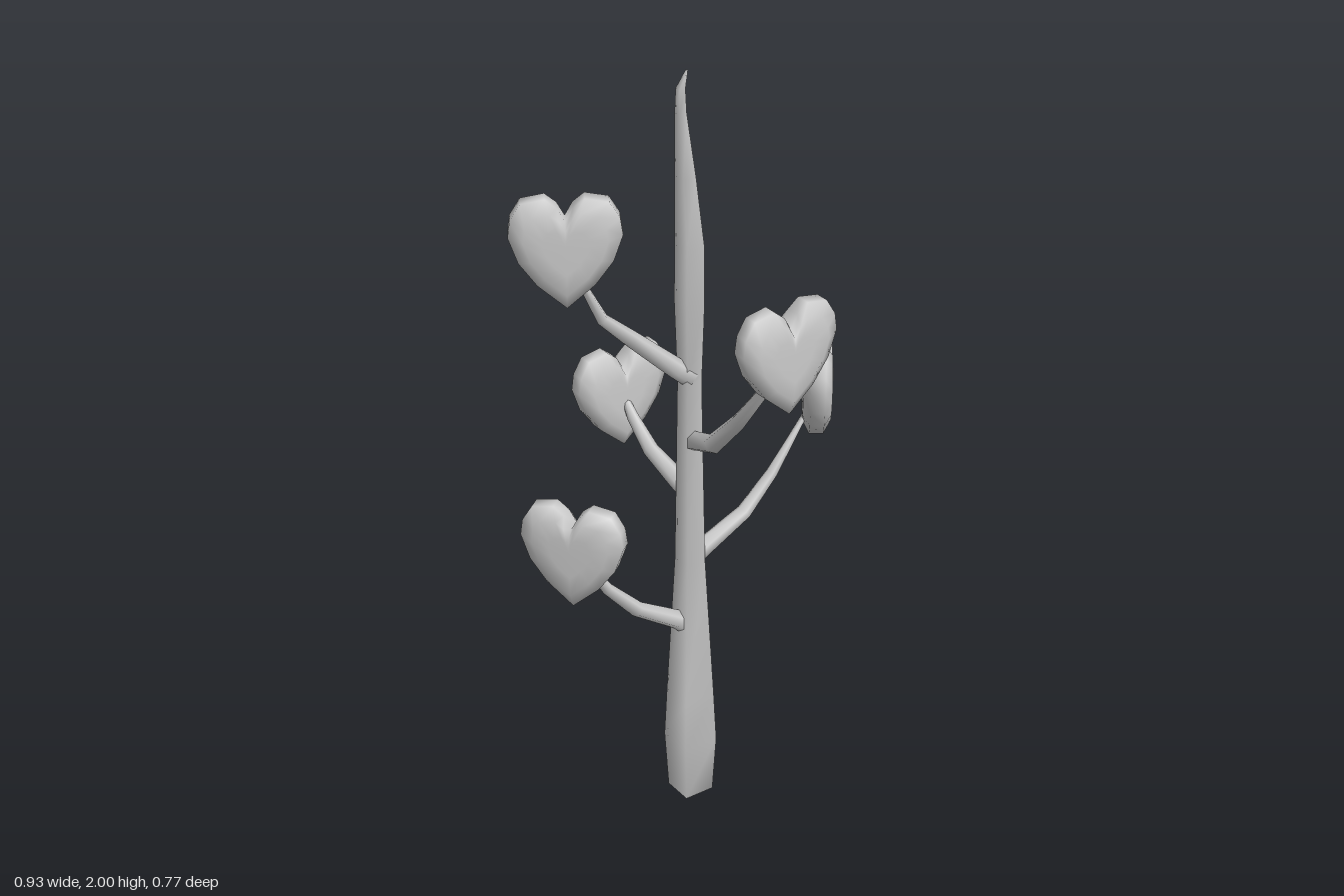
import * as THREE from 'three';

const material = new THREE.MeshStandardMaterial({ color: 0xcccccc });
const Z0 = -0.038; // depth of the trunk axis

// Joins equal rings of points into a closed, smooth skin with end caps.
function skin(name, rings) {
  const n = rings[0].length, last = rings.length - 1;
  const points = rings.flat();
  const index = [];
  for (let k = 0; k < last; k++) {
    for (let i = 0; i < n; i++) {
      const j = (i + 1) % n;
      const a = k * n + i, b = k * n + j, c = b + n, d = a + n;
      index.push(a, b, c, a, c, d);
    }
  }
  for (const k of [0, last]) {
    const centre = new THREE.Vector3();
    rings[k].forEach(p => centre.addScaledVector(p, 1 / n));
    const c = points.push(centre) - 1;
    for (let i = 0; i < n; i++) {
      const a = k * n + i, b = k * n + (i + 1) % n;
      if (k === 0) index.push(c, b, a);
      else index.push(c, a, b);
    }
  }
  const geometry = new THREE.BufferGeometry().setFromPoints(points);
  geometry.setIndex(index);
  geometry.computeVertexNormals();
  const mesh = new THREE.Mesh(geometry, material);
  mesh.name = name;
  return mesh;
}

// Tapered limb along stations [Vector3, radius]; side is the fixed cross axis.
function limb(name, stations, side, sides, phase, upright) {
  const rings = stations.map(([p, r], k) => {
    const from = stations[Math.max(k - 1, 0)][0];
    const to = stations[Math.min(k + 1, stations.length - 1)][0];
    const t = upright ? new THREE.Vector3(0, 1, 0) : to.clone().sub(from).normalize();
    const u = side.clone().cross(t).normalize();
    return Array.from({ length: sides }, (_, i) => {
      const angle = phase + (i / sides) * Math.PI * 2;
      return p.clone().addScaledVector(u, r * Math.cos(angle)).addScaledVector(side, r * Math.sin(angle));
    });
  });
  return skin(name, rings);
}

// Right half of the heart outline, from the bottom point up to the notch.
const half = [[0, 0], [0.066, 0.058], [0.108, 0.116], [0.13, 0.18], [0.124, 0.222],
  [0.1, 0.262], [0.045, 0.272], [0.018, 0.25], [0, 0.217]];
const outline = [...half, ...half.slice(1, -1).reverse().map(([x, y]) => [-x, y])];

function heart(x, y, z, turn) {
  const layers = [[0.4, -0.038], [0.74, -0.036], [1, -0.018], [1, 0.018], [0.74, 0.036], [0.4, 0.038]];
  const mid = 0.15;
  const mesh = skin('heartLeaf', layers.map(([s, depth]) =>
    outline.map(([px, py]) => new THREE.Vector3(px * s, mid + (py - mid) * s, depth))));
  mesh.position.set(x, y, z);
  mesh.rotation.y = THREE.MathUtils.degToRad(turn);
  return mesh;
}

// Each branch: horizontal heading, path as [reach, height], and its leaf.
const branches = [
  { dir: [-1, 0], path: [[0, 0.5], [0.04, 0.535], [0.16, 0.61], [0.245, 0.7], [0.31, 0.8]], leaf: [-0.343, 0.7, -0.034, -52] },
  { dir: [-1, 0], path: [[0, 1.215], [0.04, 1.25], [0.165, 1.365], [0.245, 1.44], [0.32, 1.59]], leaf: [-0.343, 1.505, -0.037, -31] },
  { dir: [1, 0], path: [[0, 0.695], [0.04, 0.72], [0.165, 0.78], [0.25, 0.865], [0.35, 1.0]], leaf: [0.379, 0.937, -0.032, 54] },
  { dir: [0, 1], path: [[0, 1.04], [0.1, 1.075], [0.205, 1.185], [0.295, 1.3], [0.36, 1.43]], leaf: [-0.003, 1.293, 0.344, 0] },
  { dir: [0, -1], path: [[0, 0.892], [0.05, 0.903], [0.17, 0.933], [0.25, 0.99], [0.3, 1.045]], leaf: [-0.003, 0.893, -0.347, 0] },
];

export function createModel() {
  const group = new THREE.Group();
  group.name = 'heartTree';

  // Square trunk, swelling at the foot and again below the hooked tip: [x, y, half width]
  const profile = [[-0.003, 0, 0.041], [-0.003, 0.16, 0.048], [-0.003, 0.3, 0.043], [-0.003, 0.7, 0.027],
    [-0.003, 1.2, 0.021], [-0.003, 1.42, 0.026], [-0.002, 1.56, 0.025], [-0.014, 1.74, 0.018],
    [-0.026, 1.9, 0.01], [-0.026, 1.96, 0.008], [-0.009, 2, 0.002]];
  group.add(limb('trunk', profile.map(([x, y, w]) => [new THREE.Vector3(x, y, Z0), w * Math.SQRT2]),
    new THREE.Vector3(1, 0, 0), 4, Math.PI / 4, true));

  // Branches with one heart-shaped leaf each
  const radii = [0.026, 0.025, 0.02, 0.015, 0.007];
  for (const { dir: [dx, dz], path, leaf } of branches) {
    const stations = path.map(([reach, y], k) =>
      [new THREE.Vector3(dx * reach - 0.003, y, Z0 + dz * reach), radii[k]]);
    group.add(limb('branch', stations, new THREE.Vector3(dz, 0, -dx), 6, 0, false));
    group.add(heart(...leaf));
  }
  return group;
}
